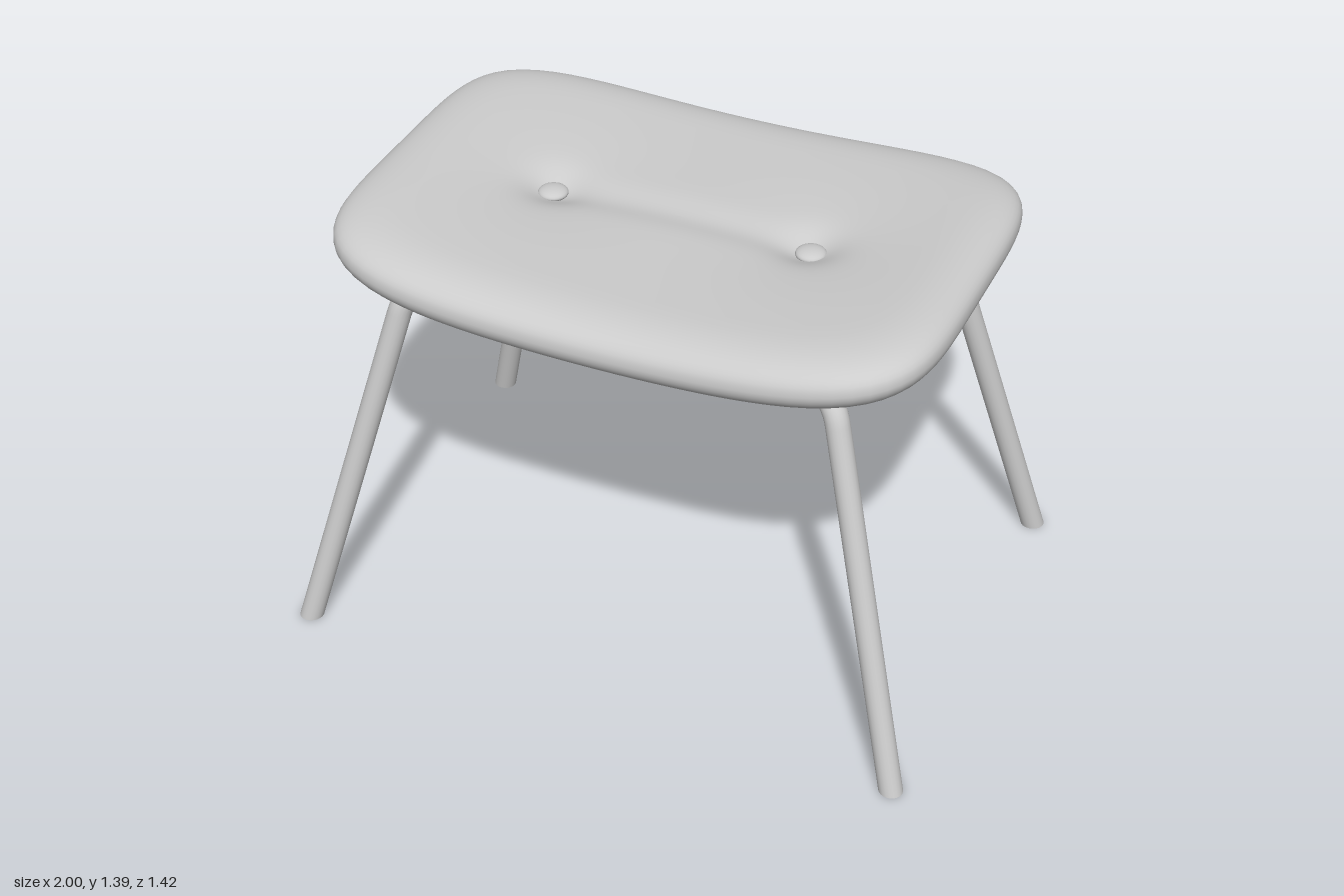
import * as THREE from 'three';

const material = new THREE.MeshStandardMaterial({ color: 0xcccccc });
const HALF_X = 0.93, HALF_Z = 0.655;
const BUTTONS = [-0.41, 0.41];
const R = 0.036; // leg tube radius

const bump = (x, z, w) => Math.exp(-(x * x + z * z) / (w * w));

// How far the top of the cushion is pulled down by the buttons and the seam between them
function tuft(x, z) {
  let d = 0;
  for (const bx of BUTTONS) d += 0.03 * bump(x - bx, z, 0.09) + 0.02 * bump(x - bx, z, 0.24);
  const along = Math.max(0, Math.abs(x) - 0.38);
  return d + 0.012 * bump(along, z, 0.07);
}

// Saddle curve: both ends of the seat rise
const saddle = (x) => 0.08 * x * x;

// Cross-section steps from top centre, over the rim, to bottom centre:
// inset from the rim, scale towards the centre, height
function cushionProfile() {
  const steps = [];
  const midY = 1.253, topH = 0.089, botH = 0.08, topInset = 0.19, botInset = 0.11;
  const inner = 44, rim = 12;
  for (let i = 0; i < inner; i++) steps.push({ inset: topInset, s: i / inner, y: midY + topH, top: 1 });
  for (let i = 0; i <= rim; i++) {
    const a = (i / rim) * Math.PI / 2;
    steps.push({
      inset: topInset * (1 - Math.pow(Math.sin(a), 0.85)), s: 1,
      y: midY + topH * Math.pow(Math.cos(a), 0.85), top: Math.cos(a),
    });
  }
  for (let i = 1; i <= rim; i++) {
    const a = (i / rim) * Math.PI / 2;
    steps.push({ inset: botInset * (1 - Math.cos(a)), s: 1, y: midY - botH * Math.sin(a), top: 0 });
  }
  for (let i = 7; i >= 0; i--) steps.push({ inset: botInset, s: i / 8, y: midY - botH, top: 0 });
  return steps;
}

function cushionGeometry() {
  const n = 4.8, segs = 128, steps = cushionProfile();
  const pos = [], index = [];
  steps.forEach((p, i) => {
    for (let j = 0; j < segs; j++) {
      const t = (j / segs) * Math.PI * 2, c = Math.cos(t), s = Math.sin(t);
      const k = p.s / Math.pow(Math.abs(c) ** n + Math.abs(s) ** n, 1 / n);
      const x = (HALF_X - p.inset) * c * k, z = (HALF_Z - p.inset) * s * k;
      pos.push(x, p.y + saddle(x) - p.top * tuft(x, z), z);
      if (i === steps.length - 1) continue;
      const a = i * segs + j, b = i * segs + ((j + 1) % segs);
      index.push(a, b, a + segs, b, b + segs, a + segs);
    }
  });
  const g = new THREE.BufferGeometry();
  g.setAttribute('position', new THREE.Float32BufferAttribute(pos, 3));
  g.setIndex(index);
  g.computeVertexNormals();
  return g;
}

// One bent tube: foot, up to the seat, diagonally across, down to the opposite foot
function legTube(side) {
  const P = (x, y, z) => new THREE.Vector3(x, y, z * side);
  const foot = P(0.963, 0, 0.671), bend = P(0.664, 1.172, 0.461);
  const opposite = (v) => new THREE.Vector3(-v.x, v.y, -v.z);
  const low = bend.clone().lerp(foot, 0.06);
  const inn = bend.clone().lerp(P(0, 1.142, 0), 0.09);
  const path = new THREE.CurvePath();
  path.add(new THREE.LineCurve3(foot, low));
  path.add(new THREE.QuadraticBezierCurve3(low, bend, inn));
  path.add(new THREE.QuadraticBezierCurve3(inn, P(0, 1.136, 0), opposite(inn)));
  path.add(new THREE.QuadraticBezierCurve3(opposite(inn), opposite(bend), opposite(low)));
  path.add(new THREE.LineCurve3(opposite(low), opposite(foot)));

  const segs = 200, radial = 20;
  const g = new THREE.TubeGeometry(path, segs, R, radial, false);
  // Slide the end rings along the legs so the feet are cut flat on the floor
  const p = g.attributes.position;
  const dir = bend.clone().sub(foot);
  for (const [ring, sign] of [[0, 1], [segs, -1]]) {
    for (let j = 0; j <= radial; j++) {
      const i = ring * (radial + 1) + j, t = p.getY(i) / dir.y;
      p.setXYZ(i, p.getX(i) - sign * dir.x * t, 0, p.getZ(i) - sign * dir.z * t);
    }
  }
  const group = new THREE.Group();
  group.name = side > 0 ? 'legPairFrontLeftToBackRight' : 'legPairBackLeftToFrontRight';
  const tube = new THREE.Mesh(g, material);
  tube.name = 'legTube';
  group.add(tube);
  for (const f of [foot, opposite(foot)]) {
    const cap = new THREE.Mesh(new THREE.CircleGeometry(R * 1.02, radial), material);
    cap.rotation.x = Math.PI / 2;
    cap.position.copy(f);
    cap.name = 'footCap';
    group.add(cap);
  }
  return group;
}

export function createModel() {
  const model = new THREE.Group();
  model.name = 'footstool';

  const cushion = new THREE.Mesh(cushionGeometry(), material);
  cushion.name = 'seatCushion';
  model.add(cushion);

  // Flattened buttons sitting in the tufts
  for (const x of BUTTONS) {
    const button = new THREE.Mesh(new THREE.SphereGeometry(0.046, 24, 14), material);
    button.scale.y = 0.4;
    button.position.set(x, 1.342 + saddle(x) - tuft(x, 0) + 0.012, 0);
    button.name = x > 0 ? 'leftButton' : 'rightButton';
    model.add(button);
  }

  model.add(legTube(1), legTube(-1));
  return model;
}
